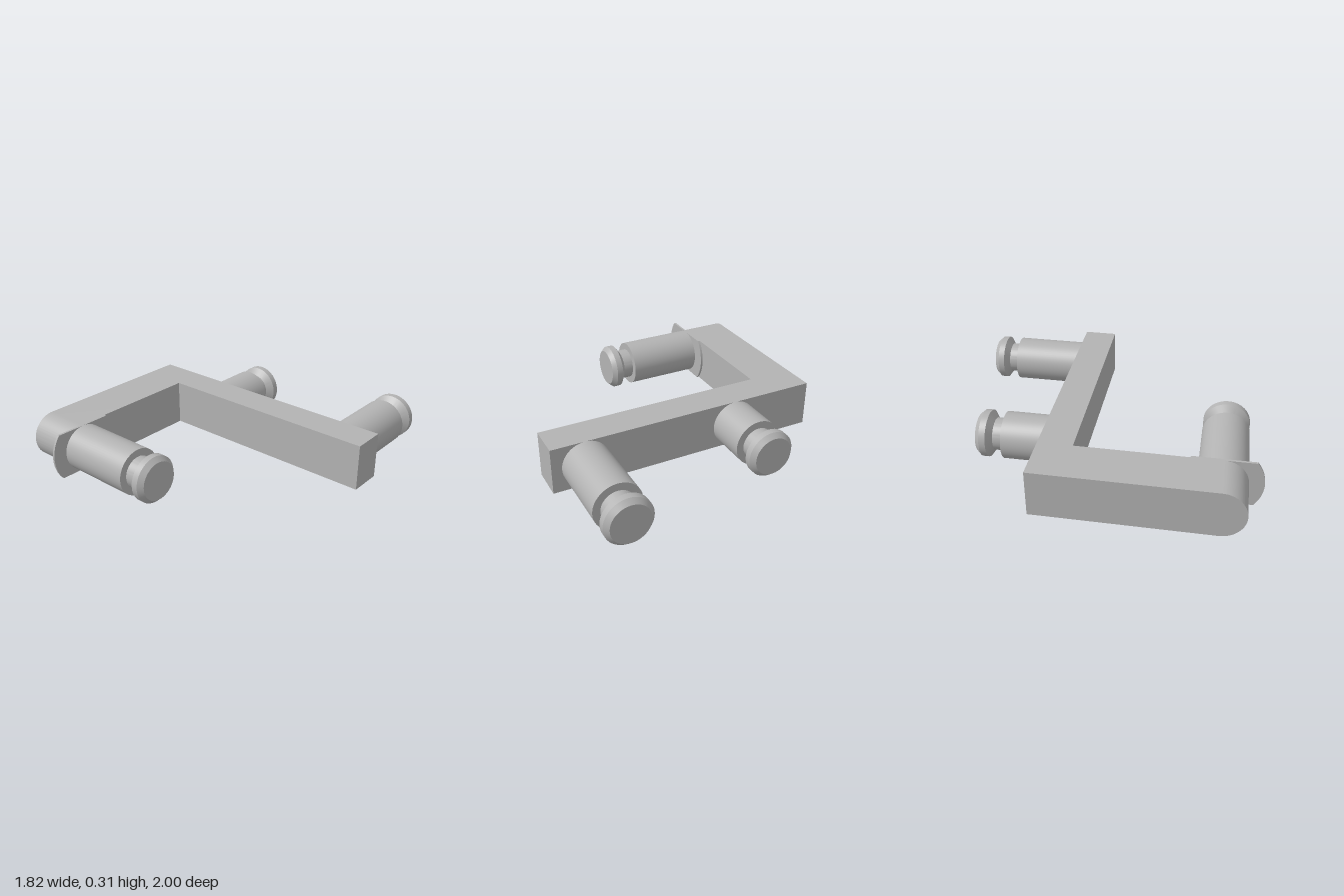
import * as THREE from 'three';
import { toCreasedNormals } from 'three/addons/utils/BufferGeometryUtils.js';

const R = 0.1525;        // peg radius, half the bar height
const HALF = 0.91;       // half the width of the bracket
const ARM_X = -0.605;    // inner face of the arm
const PEG_Z = 0.755;     // axis of the front peg
const BAR_BACK = -0.36, BAR_FRONT = -0.14;

export function createModel() {
  const model = new THREE.Group();
  const grey = new THREE.MeshStandardMaterial({ color: 0xb3b3b3 });
  grey.name = 'plain grey';

  const add = (name, geometry, parent = model) => {
    const mesh = new THREE.Mesh(geometry, grey);
    mesh.name = name;
    parent.add(mesh);
    return mesh;
  };

  // Extrudes a side outline (z, y) towards -x, starting at the given x
  const extrudeAcross = (shape, x, depth) => {
    const g = new THREE.ExtrudeGeometry(shape, { depth, bevelEnabled: false, curveSegments: 32 });
    g.rotateY(-Math.PI / 2).translate(x, 0, 0);
    return toCreasedNormals(g, 0.5);
  };

  // Long rear bar
  add('rearBar', new THREE.BoxGeometry(2 * HALF, 2 * R, BAR_FRONT - BAR_BACK))
    .position.set(0, R, (BAR_FRONT + BAR_BACK) / 2);

  // Side arm with a half-round end
  const arm = new THREE.Shape();
  arm.moveTo(BAR_FRONT, 0);
  arm.lineTo(PEG_Z, 0);
  arm.absarc(PEG_Z, R, R, -Math.PI / 2, Math.PI / 2, false);
  arm.lineTo(BAR_FRONT, 2 * R);
  arm.closePath();
  add('sideArm', extrudeAcross(arm, ARM_X, HALF + ARM_X));

  // Thin round flange, cut flat at the top and bottom
  const flangeR = 0.245, cut = Math.asin(R / flangeR);
  const flange = new THREE.Shape();
  flange.absarc(PEG_Z, R, flangeR, -cut, cut, false);
  flange.absarc(PEG_Z, R, flangeR, Math.PI - cut, Math.PI + cut, false);
  flange.closePath();
  add('flange', extrudeAcross(flange, ARM_X + 0.015, 0.015));

  // Peg with a grooved neck and chamfered head, growing along +y from its base
  const peg = (name, shoulder) => {
    const profile = [
      [0, 0], [R, 0], [R, shoulder], [0.105, shoulder], [0.105, shoulder + 0.067],
      [R, shoulder + 0.1], [R, shoulder + 0.142], [0.125, shoulder + 0.173], [0, shoulder + 0.173],
    ].map(([r, y]) => new THREE.Vector2(r, y));
    return add(name, toCreasedNormals(new THREE.LatheGeometry(profile, 64), 0.5));
  };

  // Front peg points to +x, rear pegs point to -z
  const front = peg('frontPeg', 0.52);
  front.rotation.z = -Math.PI / 2;
  front.position.set(ARM_X, R, PEG_Z);

  for (const [name, x, shoulder] of [['rearPegShort', -0.342, 0.277], ['rearPegLong', 0.692, 0.467]]) {
    const rear = peg(name, shoulder);
    rear.rotation.x = -Math.PI / 2;
    rear.position.set(x, R, BAR_BACK);
  }
  return model;
}
